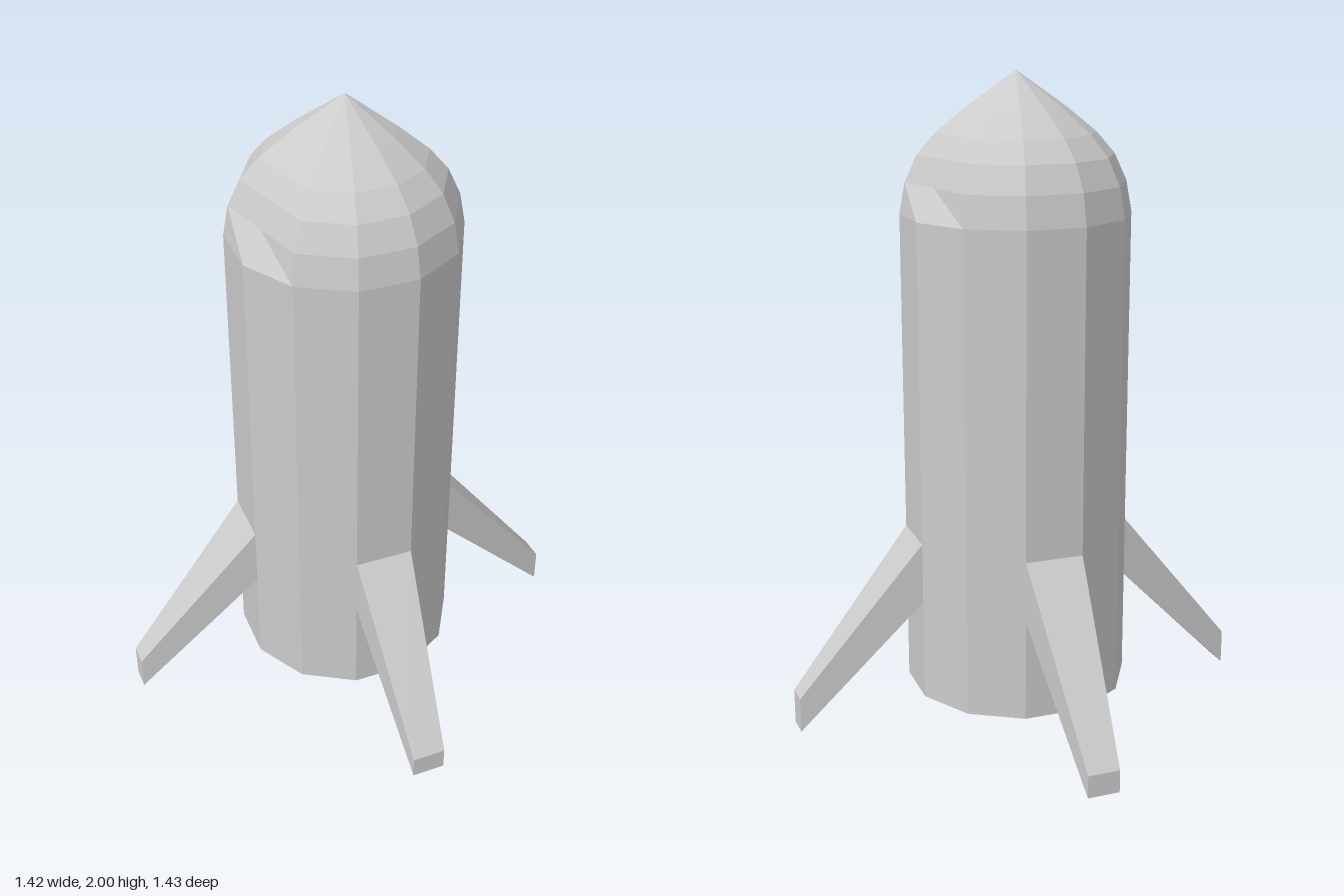
import * as THREE from 'three';
import { ConvexGeometry } from 'three/addons/geometries/ConvexGeometry.js';

const R = 0.35, SIDES = 12, BOTTOM = 0.08, SHOULDER = 1.58;

export function createModel() {
  const group = new THREE.Group();
  const material = new THREE.MeshStandardMaterial({ color: 0xcccccc, flatShading: true });
  const add = (name, geometry) => {
    const mesh = new THREE.Mesh(geometry, material);
    mesh.name = name;
    group.add(mesh);
    return mesh;
  };

  // Twelve-sided hull, closed underneath
  const height = SHOULDER - BOTTOM;
  add('hull', new THREE.CylinderGeometry(R, R, height, SIDES)).position.y = BOTTOM + height / 2;

  // Rounded nose with a pointed tip
  const profile = [[R, SHOULDER], [0.333, 1.674], [0.296, 1.755], [0.24, 1.82], [0.15, 1.893], [0, 2]];
  const nose = new THREE.LatheGeometry(profile.map(([r, y]) => new THREE.Vector2(r, y)), SIDES);
  // Above the shoulder, the two side ridges are flattened into wide facets
  const p = nose.attributes.position;
  for (let i = 0; i < p.count; i++) {
    if (p.getY(i) > SHOULDER + 0.01 && Math.abs(p.getZ(i)) < 1e-4) {
      p.setX(i, p.getX(i) * Math.cos(Math.PI / 6));
    }
  }
  add('noseCone', nose);

  // Tapered fins, each rooted on one hull facet; tips are [x, z] pairs
  const fins = [
    { name: 'leftFin', angle: 0, tips: [[0.71, 0.15], [0.695, 0.22]], low: 0, high: 0.11 },
    { name: 'frontFin', angle: 90, tips: [[-0.14, 0.715], [-0.24, 0.69]], low: 0.03, high: 0.1 },
    { name: 'rightFin', angle: 180, tips: [[-0.715, -0.16], [-0.7, -0.225]], low: 0, high: 0.11 },
    { name: 'backFin', angle: 270, tips: [[0.14, -0.72], [0.235, -0.695]], low: 0.02, high: 0.09 },
  ];
  for (const { name, angle, tips, low, high } of fins) {
    const points = [];
    for (const step of [0, 30]) {
      const a = THREE.MathUtils.degToRad(angle + step);
      for (const y of [0.4, 0.59]) points.push(new THREE.Vector3(R * Math.cos(a), y, R * Math.sin(a)));
    }
    for (const [x, z] of tips) {
      for (const y of [low, high]) points.push(new THREE.Vector3(x, y, z));
    }
    add(name, new ConvexGeometry(points));
  }
  return group;
}
